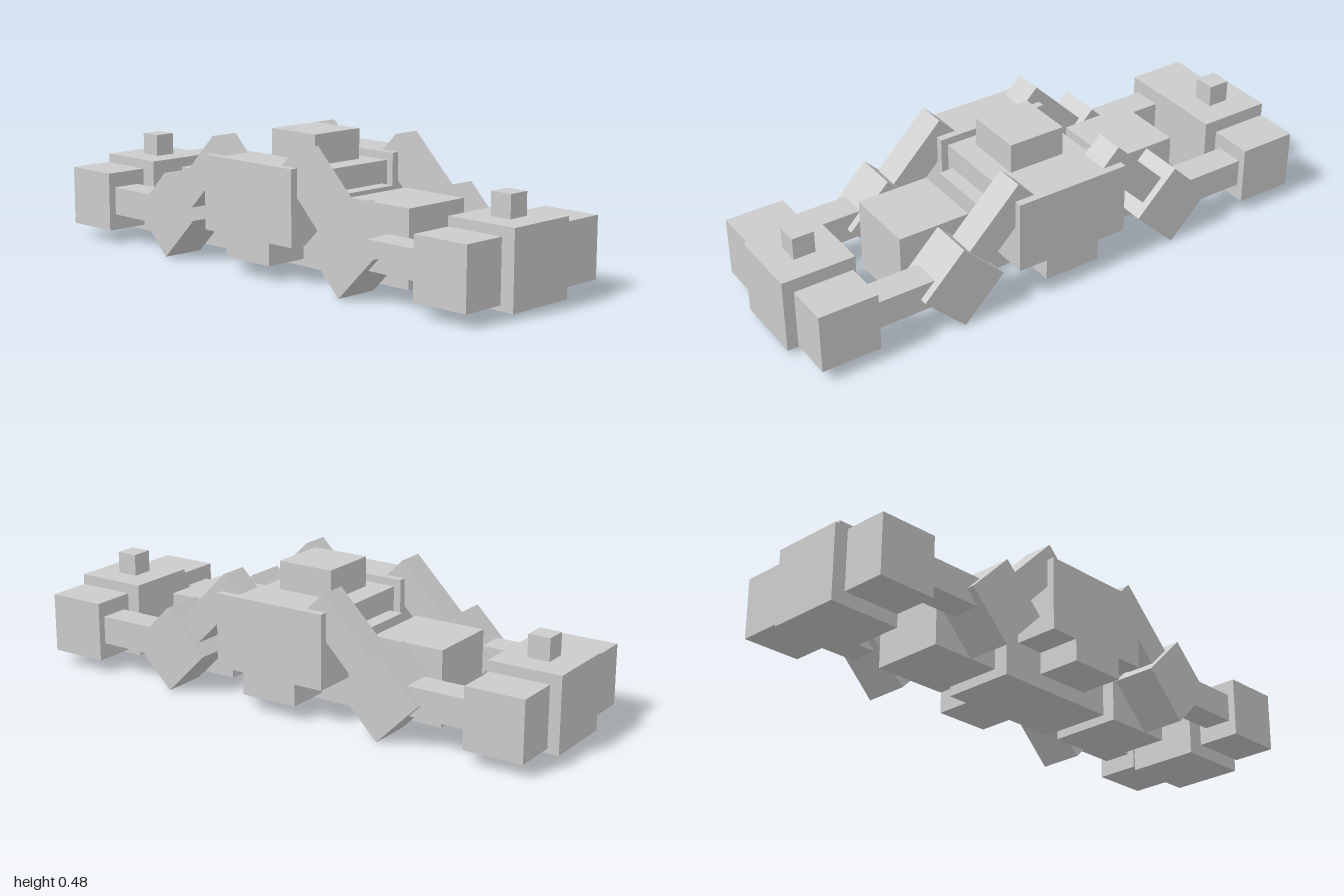
import * as THREE from 'three';

export function createModel() {
  const model = new THREE.Group();
  const material = new THREE.MeshStandardMaterial({ color: 0xcccccc, flatShading: true });

  function box(name, size, position, tilt = 0) {
    const mesh = new THREE.Mesh(new THREE.BoxGeometry(...size), material);
    mesh.name = name;
    mesh.position.set(...position);
    mesh.rotation.x = tilt;
    model.add(mesh);
  }

  // Central body: base, raised hull and top block
  box('bodyBase', [0.27, 0.27, 0.486], [0, 0.154, 0]);
  box('bodyHull', [0.326, 0.215, 0.378], [0, 0.262, 0]);
  box('topBlock', [0.216, 0.108, 0.214], [0, 0.424, 0]);

  // Side plates with a lower tab
  const sideX = 0.244, sideWidth = 0.162;
  for (const s of [1, -1]) {
    box('sidePlate', [sideWidth, 0.264, 0.432], [s * sideX, 0.265, 0]);
    box('sidePlateTab', [sideWidth, 0.08, 0.214], [s * sideX, 0.094, 0]);
  }

  // Front and back ends are mirrored
  const jointY = 0.153, jointZ = 0.435;
  const legTopY = 0.422, legTopZ = 0.167;
  const legLength = Math.hypot(legTopY - jointY, jointZ - legTopZ);
  for (const e of [1, -1]) {
    const tilt = e * Math.PI / 4;
    box('middleBlock', [0.27, 0.27, 0.268], [0, 0.154, e * 0.432]);
    box('endBlock', [0.27, 0.27, 0.268], [0, 0.154, e * 0.866]);
    box('endPost', [0.08, 0.08, 0.08], [0, 0.329, e * 0.866]);

    // Four limbs: sloping upper leg, tilted knee, level lower arm and foot
    for (const s of [1, -1]) {
      box('upperLeg', [0.107, 0.107, legLength],
        [s * sideX, (jointY + legTopY) / 2, e * (jointZ + legTopZ) / 2], tilt);
      box('knee', [sideWidth, 0.216, 0.216], [s * sideX, jointY, e * jointZ], tilt);
      box('lowerArm', [0.107, 0.102, 0.34], [s * sideX, 0.157, e * 0.605]);
      box('foot', [sideWidth, 0.215, 0.215], [s * sideX, 0.155, e * 0.865]);
    }
  }
  return model;
}
